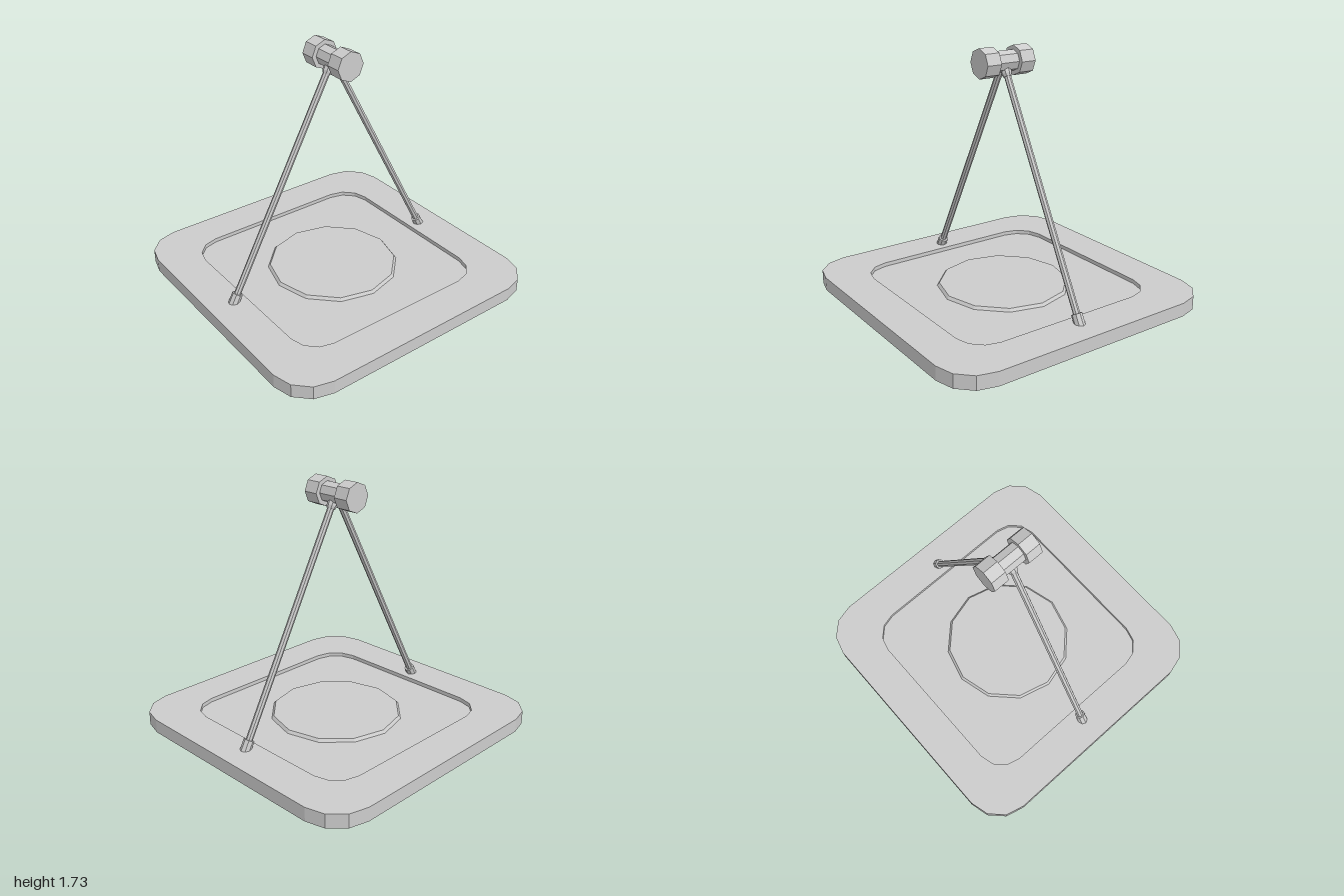
import * as THREE from 'three';

const material = new THREE.MeshStandardMaterial({ color: 0xcccccc, flatShading: true });

function addMesh(parent, geometry, name) {
  const mesh = new THREE.Mesh(geometry, material);
  mesh.name = name;
  parent.add(mesh);
  return mesh;
}

// Square outline with corners rounded in three facets
function roundedSquare(half, radius) {
  const points = [];
  for (let corner = 0; corner < 4; corner++) {
    const start = corner * Math.PI / 2;
    const cx = (half - radius) * (corner === 0 || corner === 3 ? 1 : -1);
    const cy = (half - radius) * (corner < 2 ? 1 : -1);
    for (let i = 0; i <= 3; i++) {
      const a = start + i * Math.PI / 6;
      points.push(new THREE.Vector2(cx + radius * Math.cos(a), cy + radius * Math.sin(a)));
    }
  }
  return points;
}

// Horizontal slab from bottom to top
function slab(shape, bottom, top) {
  const geometry = new THREE.ExtrudeGeometry(shape, { depth: top - bottom, bevelEnabled: false });
  return geometry.rotateX(-Math.PI / 2).translate(0, bottom, 0);
}

// Tapering cylinder running from one point to another
function addRod(parent, from, to, r0, r1, sides, name) {
  const dir = to.clone().sub(from);
  const mesh = addMesh(parent, new THREE.CylinderGeometry(r1, r0, dir.length(), sides), name);
  mesh.position.copy(from).add(to).multiplyScalar(0.5);
  mesh.quaternion.setFromUnitVectors(new THREE.Vector3(0, 1, 0), dir.normalize());
}

export function createModel() {
  const model = new THREE.Group();
  model.name = 'hangingPlate';
  const thickness = 0.095;
  const headY = 1.625;

  // Base: thick frame, thinner recessed panel, raised disc on both faces
  const base = new THREE.Group();
  base.name = 'base';
  model.add(base);
  const inner = roundedSquare(0.73, 0.195);
  const frame = new THREE.Shape(roundedSquare(1, 0.26));
  frame.holes.push(new THREE.Path(inner));
  addMesh(base, slab(frame, 0, thickness), 'baseFrame');
  addMesh(base, slab(new THREE.Shape(inner), 0.028, 0.067), 'recessedPanel');
  const discProfile = [[0, 0.008], [0.445, 0.008], [0.46, 0.028], [0.46, 0.067], [0.445, 0.087], [0, 0.087]]
    .map(([r, y]) => new THREE.Vector2(r, y));
  addMesh(base, new THREE.LatheGeometry(discProfile, 12), 'centreDisc');

  // Two slanted struts meeting at the head, with a collar at each end
  for (const side of [1, -1]) {
    const strut = new THREE.Group();
    strut.name = side > 0 ? 'leftStrut' : 'rightStrut';
    model.add(strut);
    const at = (y) => new THREE.Vector3(side * (headY - y) * 0.535, y, 0);
    addRod(strut, at(0.06), at(1.6), 0.023, 0.023, 8, 'rod');
    addRod(strut, at(0.06), at(0.15), 0.036, 0.036, 8, 'lowerCollar');
    addRod(strut, at(1.532), at(1.55), 0.027, 0.034, 8, 'upperCollarTaper');
    addRod(strut, at(1.55), at(1.6), 0.034, 0.034, 8, 'upperCollar');
  }

  // Octagonal spool head lying along z
  const head = new THREE.Group();
  head.name = 'head';
  head.position.y = headY;
  model.add(head);
  const addDrum = (radius, length, z, name) => {
    const drum = new THREE.CylinderGeometry(radius, radius, length, 8).rotateX(Math.PI / 2);
    addMesh(head, drum, name).position.z = z;
  };
  addDrum(0.07, 0.18, 0, 'spoolCore');
  addDrum(0.1, 0.107, 0.1335, 'frontFlange');
  addDrum(0.1, 0.107, -0.1335, 'backFlange');

  return model;
}
